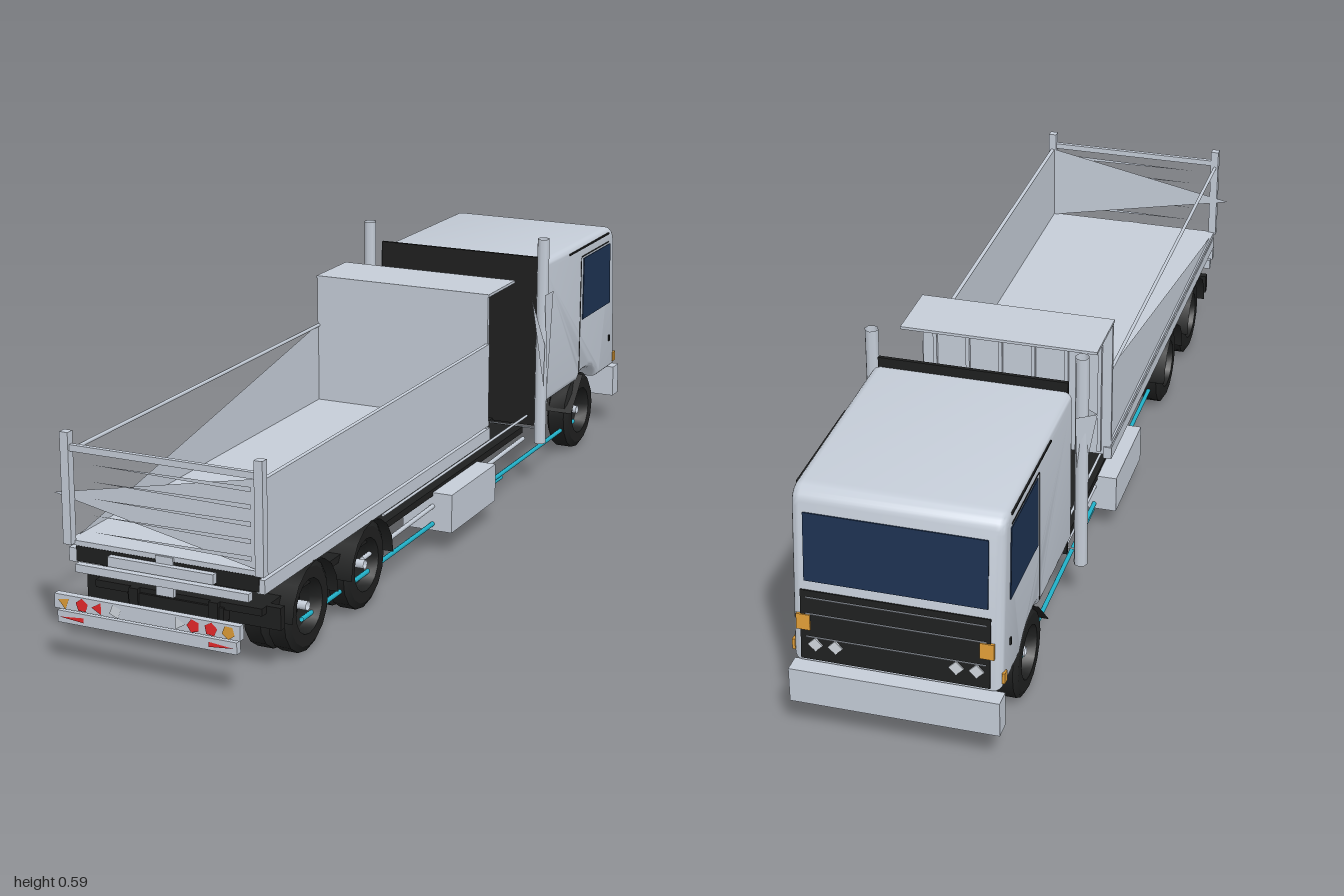
import * as THREE from 'three';
import { toCreasedNormals } from 'three/addons/utils/BufferGeometryUtils.js';

export function createModel() {
  const root = new THREE.Group();
  root.name = 'tipperTruck';
  const mat = (name, color) => {
    const m = new THREE.MeshStandardMaterial({ color, side: THREE.DoubleSide });
    m.name = name;
    return m;
  };
  const grey = mat('paintedSteel', 0xc5cdd8);
  const black = mat('blackRubber', 0x1f2020);
  const glass = mat('darkGlass', 0x1d3252);
  const red = mat('redLens', 0xee2a2d);
  const amber = mat('amberLens', 0xdf9d38);
  const white = mat('clearLens', 0xd3d9e0);
  const teal = mat('tealPipe', 0x22b2ca);

  const add = (name, geo, m) => {
    const mesh = new THREE.Mesh(geo, m);
    mesh.name = name;
    root.add(mesh);
    return mesh;
  };
  // Box given by its limits on each axis
  const box = (name, m, x0, x1, y0, y1, z0, z1) => {
    const mesh = add(name, new THREE.BoxGeometry(x1 - x0, y1 - y0, z1 - z0), m);
    mesh.position.set((x0 + x1) / 2, (y0 + y1) / 2, (z0 + z1) / 2);
    return mesh;
  };
  // Thin flat triangle from three corners
  const tri = (name, m, ...corners) => {
    const g = new THREE.BufferGeometry();
    g.setAttribute('position', new THREE.Float32BufferAttribute(corners.flat(), 3));
    g.computeVertexNormals();
    return add(name, g, m);
  };
  // Round bar between two points
  const bar = (name, m, a, b, r) => {
    const path = new THREE.LineCurve3(new THREE.Vector3(...a), new THREE.Vector3(...b));
    return add(name, new THREE.TubeGeometry(path, 1, r, 8), m);
  };

  // Chassis rails, deck and cross members
  for (const x of [-0.085, 0.09]) box('chassisRail', black, x - 0.01, x + 0.01, 0.1, 0.145, -0.94, 0.89);
  box('chassisDeck', black, -0.175, 0.19, 0.13, 0.145, -0.415, 0.88);
  box('gearbox', black, -0.05, 0.06, 0.105, 0.145, -0.72, -0.48);
  for (const z of [-0.9, -0.2, 0.15, 0.6, 0.87]) box('crossMember', black, -0.1, 0.11, 0.105, 0.135, z - 0.015, z + 0.015);

  // Cab body: side profile (z, y) extruded across the width
  const s = new THREE.Shape();
  s.moveTo(-0.457, 0.182);
  s.lineTo(-0.457, 0.515);
  s.quadraticCurveTo(-0.457, 0.53, -0.472, 0.53);
  s.lineTo(-0.905, 0.527);
  s.quadraticCurveTo(-0.94, 0.526, -0.945, 0.49);
  s.lineTo(-0.97, 0.16);
  s.lineTo(-0.845, 0.16);
  s.quadraticCurveTo(-0.82, 0.2, -0.75, 0.2);
  s.quadraticCurveTo(-0.72, 0.2, -0.71, 0.182);
  const bevel = 0.018;
  let cabGeo = new THREE.ExtrudeGeometry(s, {
    depth: 0.418 - 2 * bevel, bevelSize: bevel, bevelThickness: bevel, bevelOffset: -bevel, bevelSegments: 5, curveSegments: 8,
  });
  cabGeo.rotateY(-Math.PI / 2);
  cabGeo.translate(0.216 - bevel, 0, 0);
  cabGeo = toCreasedNormals(cabGeo, 0.6);
  add('cabBody', cabGeo, grey);
  box('cabRearPanel', black, -0.19, 0.207, 0.14, 0.545, -0.457, -0.449);

  // Plates on the sloping cab front
  const frontPlate = (name, m, x0, x1, y0, y1, lift = 0) => {
    const y = (y0 + y1) / 2;
    const p = box(name, m, x0, x1, y0, y1, -0.003, 0.003);
    p.position.z = -0.945 - (0.49 - y) * 0.076 - lift;
    p.rotation.x = 0.076;
  };
  frontPlate('windscreen', glass, -0.172, 0.19, 0.335, 0.48);
  frontPlate('grille', black, -0.178, 0.198, 0.165, 0.315);
  for (const y of [0.215, 0.265, 0.3]) frontPlate('grilleSlat', grey, -0.17, 0.187, y - 0.001, y + 0.001, 0.002);
  for (const side of [-1, 1]) {
    const x = side * 0.182 + 0.01;
    frontPlate('indicator', amber, x - 0.014, x + 0.014, 0.23, 0.263, 0.003);
    for (const d of [0.12, 0.16]) {
      const lamp = add('headlamp', new THREE.CylinderGeometry(0.015, 0.015, 0.004, 4), white);
      lamp.geometry.rotateX(Math.PI / 2);
      lamp.position.set(side * d + 0.008, 0.2, -0.971);
    }
  }
  box('frontBumper', grey, -0.205, 0.215, 0.08, 0.155, -1, -0.962);

  // Side windows, door seams, handles and side indicators
  for (const x of [-0.202, 0.216]) {
    const win = new THREE.Shape([[0.726, 0.335], [0.916, 0.335], [0.907, 0.487], [0.726, 0.487]]
      .map(([z, y]) => new THREE.Vector2(-z, y)));
    const g = new THREE.ExtrudeGeometry(win, { depth: 0.004, bevelEnabled: false });
    g.rotateY(-Math.PI / 2);
    add('sideWindow', g, glass).position.x = x + 0.002;
    box('doorSeam', black, x - 0.001, x + 0.001, 0.2, 0.49, -0.712, -0.71);
    box('doorTopSeam', black, x - 0.001, x + 0.001, 0.491, 0.494, -0.9, -0.714);
    box('roofGutter', black, x - 0.002, x + 0.002, 0.512, 0.516, -0.9, -0.63);
    box('doorHandle', black, x - 0.003, x + 0.003, 0.235, 0.25, -0.92, -0.914);
    box('sideIndicator', amber, x - 0.003, x + 0.003, 0.175, 0.198, -0.963, -0.948);
  }

  // Wheels: open tyre rings
  const tyre = (x, z, w) => {
    const h = w / 2;
    const pts = [[0.056, -h], [0.08, -h], [0.093, -h * 0.7], [0.093, h * 0.7], [0.08, h], [0.056, h], [0.05, 0], [0.056, -h]]
      .map(([r, y]) => new THREE.Vector2(r, y));
    const g = toCreasedNormals(new THREE.LatheGeometry(pts, 16), 0.4);
    g.rotateZ(Math.PI / 2);
    add('tyre', g, black).position.set(x, 0.098, z);
  };
  // Half-round mudguard hugging the top of a wheel
  const mudguard = (x0, x1, z) => {
    const g = new THREE.CylinderGeometry(0.098, 0.098, x1 - x0, 8, 1, true, -Math.PI / 2, Math.PI);
    g.rotateX(-Math.PI / 2);
    g.rotateY(Math.PI / 2);
    add('mudguard', g, black).position.set((x0 + x1) / 2, 0.096, z);
  };
  for (const z of [0.465, 0.72]) {
    for (const x of [-0.169, -0.115, 0.13, 0.183]) tyre(x, z, 0.05);
    mudguard(-0.208, -0.09, z);
    mudguard(0.105, 0.222, z);
    bar('rearAxle', grey, [-0.19, 0.098, z], [0.205, 0.098, z], 0.01);
    box('springCarrier', black, -0.1, 0.11, 0.14, 0.185, z - 0.02, z + 0.02);
  }
  for (const x of [-0.165, 0.18]) {
    tyre(x, -0.75, 0.055);
    // Pointed flap trailing the front wheel
    const side = Math.sign(x);
    const outer = side > 0 ? 0.22 : -0.206;
    const inner = x - side * 0.03;
    tri('frontFlap', black, [outer, 0.195, -0.73], [inner, 0.195, -0.73], [outer, 0.115, -0.655]);
    tri('frontFlap', black, [inner, 0.195, -0.73], [inner, 0.115, -0.655], [outer, 0.115, -0.655]);
  }
  bar('frontAxle', grey, [-0.185, 0.098, -0.75], [0.2, 0.098, -0.75], 0.01);
  box('axleBeam', grey, -0.09, 0.1, 0.075, 0.09, -0.76, -0.74);

  // Side tanks and long pipes
  box('sideTank', grey, 0.12, 0.235, 0.052, 0.138, -0.145, 0.098);
  box('sideTank', grey, -0.217, -0.105, 0.055, 0.138, -0.14, 0.09);
  for (const x of [-0.168, 0.19]) {
    bar('tealPipe', teal, [x, 0.067, 0.72], [x, 0.067, -0.75], 0.005);
    bar('shortTealPipe', teal, [x, 0.058, -0.15], [x, 0.058, -0.29], 0.004);
    bar('upperPipe', grey, [x, 0.165, 0.35], [x, 0.165, -0.44], 0.003);
    bar('lowerPipe', grey, [x, 0.102, 0.45], [x, 0.115, -0.42], 0.005);
  }

  // Exhaust stacks with pointed heat shields
  for (const x of [-0.213, 0.227]) {
    bar('exhaustStack', grey, [x, 0.107, -0.432], [x, 0.595, -0.432], 0.0145);
    bar('exhaustBracket', grey, [x, 0.14, -0.432], [x * 0.4, 0.14, -0.432], 0.002);
  }
  tri('heatShield', grey, [-0.245, 0.468, -0.432], [-0.206, 0.468, -0.405], [-0.206, 0.25, -0.432]);
  tri('heatShield', grey, [-0.245, 0.468, -0.432], [-0.206, 0.468, -0.459], [-0.206, 0.25, -0.432]);
  tri('heatShield', grey, [0.212, 0.455, -0.405], [0.243, 0.35, -0.412], [0.24, 0.25, -0.415]);
  tri('heatShield', grey, [0.243, 0.468, -0.405], [0.243, 0.468, -0.459], [0.243, 0.25, -0.432]);

  // Tipping bed: floor, side walls, headboard and canopy
  box('bedFloor', grey, -0.207, 0.218, 0.226, 0.236, -0.145, 0.92);
  for (const x of [-0.198, 0.209]) box('bedSideRail', grey, x - 0.009, x + 0.009, 0.192, 0.22, -0.15, 0.92);
  box('leftSideWall', grey, 0.209, 0.218, 0.232, 0.415, -0.14, 0.915);
  tri('rightSideWall', grey, [-0.203, 0.415, -0.14], [-0.203, 0.232, -0.14], [-0.203, 0.232, 0.91]);
  bar('rightTopRail', grey, [-0.203, 0.412, -0.14], [-0.203, 0.412, 0.92], 0.004);
  box('headboard', grey, -0.205, 0.214, 0.2, 0.525, -0.147, -0.138);
  box('canopy', grey, -0.207, 0.216, 0.521, 0.527, -0.288, -0.138);
  for (let i = 0; i < 6; i++) {
    const x = -0.18 + i * 0.073;
    box('headboardRib', grey, x - 0.004, x + 0.004, 0.21, 0.521, -0.156, -0.147);
  }
  box('tippingRam', grey, -0.02, 0.03, 0.15, 0.37, -0.205, -0.172);
  box('ramBase', grey, -0.1, 0.11, 0.145, 0.17, -0.215, -0.165);

  // Open tailgate: posts, top rail and tapered slats
  for (const x of [-0.202, 0.214]) box('tailPost', grey, x - 0.009, x + 0.009, 0.23, 0.455, 0.915, 0.933);
  box('tailTopRail', grey, -0.195, 0.207, 0.417, 0.43, 0.918, 0.928);
  for (let i = 0; i < 5; i++) {
    const y = 0.26 + i * 0.0337;
    tri('tailSlat', grey, [-0.15, y, 0.924], [0.193, y - 0.005, 0.924], [0.193, y + 0.005, 0.924]);
  }
  tri('tailgatePanel', grey, [0.207, 0.415, 0.915], [-0.24, 0.325, 0.915], [0.207, 0.235, 0.915]);

  // Rear cross bars and tow centre
  box('rearBlackBeam', black, -0.19, 0.207, 0.195, 0.226, 0.885, 0.921);
  box('rearLowerBeam', black, -0.205, 0.22, 0.1, 0.145, 0.845, 0.862);
  box('rearCrossBar', grey, -0.178, 0.197, 0.182, 0.198, 0.93, 0.945);
  box('rearShortBar', grey, -0.112, 0.117, 0.2, 0.22, 0.922, 0.935);
  box('towCentre', grey, -0.013, 0.025, 0.155, 0.235, 0.915, 0.924);

  // Tail light boards and lenses
  box('lightBoard', grey, -0.193, 0.207, 0.126, 0.155, 0.983, 0.998);
  box('lowerLightBoard', grey, -0.187, 0.2, 0.098, 0.122, 0.983, 0.998);
  const lens = (m, x, sides, turn) => {
    const l = add('tailLens', new THREE.CircleGeometry(0.014, sides), m);
    l.position.set(x, 0.14, 1);
    l.rotation.z = turn;
  };
  [[amber, -0.17, 3, -1.4], [red, -0.131, 5, 0.31], [red, -0.096, 3, Math.PI], [white, -0.058, 4, 0.4],
    [white, 0.079, 3, 0], [red, 0.11, 5, 0.6], [red, 0.147, 5, 0.2], [amber, 0.184, 5, 0.9]].forEach((l) => lens(...l));
  tri('reflector', red, [-0.182, 0.11, 1], [-0.128, 0.105, 1], [-0.128, 0.115, 1]);
  tri('reflector', red, [0.195, 0.11, 1], [0.142, 0.115, 1], [0.142, 0.105, 1]);

  return root;
}
